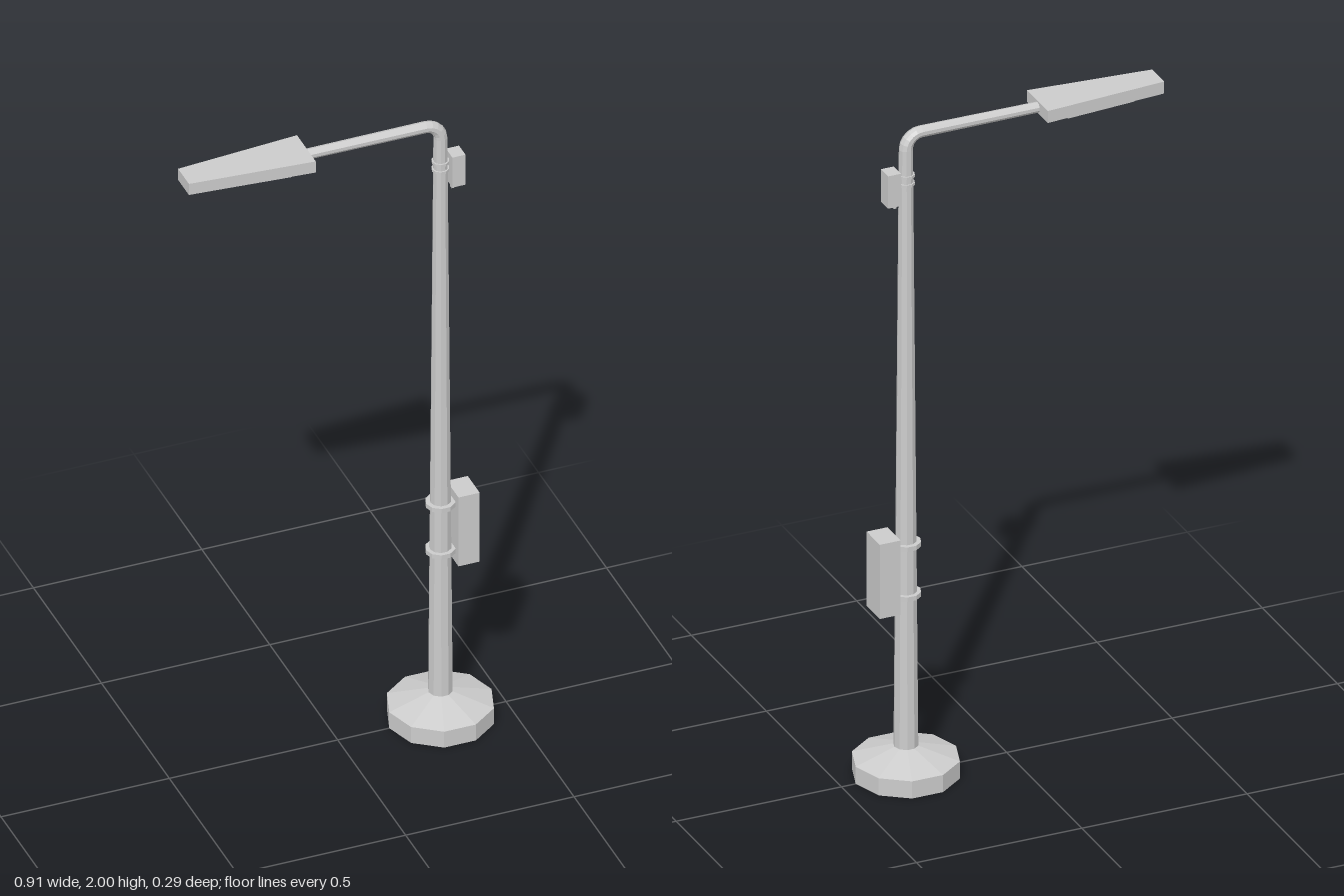
import * as THREE from 'three';

const SIDES = 10;
const POLE_X = 0.305;

export function createModel() {
  const root = new THREE.Group();
  const mat = new THREE.MeshStandardMaterial({ color: 0xcccccc, flatShading: true });

  const add = (name, geo, x = 0, y = 0, z = 0) => {
    const mesh = new THREE.Mesh(geo, mat);
    mesh.name = name;
    mesh.position.set(x, y, z);
    root.add(mesh);
    return mesh;
  };
  const box = (name, x0, x1, y0, y1, halfZ) =>
    add(name, new THREE.BoxGeometry(x1 - x0, y1 - y0, 2 * halfZ), (x0 + x1) / 2, (y0 + y1) / 2);
  // Polygonal drum with a corner pointing along x
  const drum = (name, rTop, rBottom, y0, y1) =>
    add(name, new THREE.CylinderGeometry(rTop, rBottom, y1 - y0, SIDES).rotateY(Math.PI / 2), POLE_X, (y0 + y1) / 2);
  // Trapezoid plate lying flat, wider towards the pole
  const plate = (name, x0, half0, x1, half1, y0, y1) => {
    const shape = new THREE.Shape([
      new THREE.Vector2(x0, -half0), new THREE.Vector2(x1, -half1),
      new THREE.Vector2(x1, half1), new THREE.Vector2(x0, half0),
    ]);
    const geo = new THREE.ExtrudeGeometry(shape, { depth: y1 - y0, bevelEnabled: false });
    return add(name, geo.rotateX(-Math.PI / 2), 0, y0);
  };

  // Concrete foot: one closed profile turned in ten sides
  const foot = [[0, 0], [0.152, 0], [0.152, 0.053], [0.035, 0.09], [0, 0.09]];
  add('base', new THREE.LatheGeometry(foot.map(p => new THREE.Vector2(...p)), SIDES).rotateY(Math.PI / 2), POLE_X);

  // Tapered pole, bend and arm as one loft of rings
  add('poleAndArm', poleGeometry());

  // Lamp head and the lens under it
  plate('lampHead', -0.458, 0.04, -0.093, 0.069, 1.963, 2.0);
  plate('lampLens', -0.37, 0.036, -0.16, 0.054, 1.955, 1.964);

  // Control cabinet with its straps
  box('cabinet', 0.341, 0.404, 0.52, 0.75, 0.044);
  for (const y of [0.56, 0.715]) {
    drum('cabinetStrap', 0.043, 0.043, y - 0.007, y + 0.007);
    box('cabinetBracket', 0.325, 0.345, y - 0.007, y + 0.007, 0.015);
  }

  // Small sensor box near the top with its straps and cable gland
  box('sensorBox', 0.331, 0.37, 1.775, 1.875, 0.024);
  for (const y of [1.83, 1.855]) drum('sensorStrap', 0.025, 0.025, y - 0.004, y + 0.004);
  box('sensorGland', 0.336, 0.344, 1.76, 1.776, 0.006);

  return root;
}

function poleGeometry() {
  const bend = 0.045, armY = 1.98;
  // Rings: centre x, centre y, turn from upright, radius
  const rings = [[POLE_X, 0.085, 0, 0.035]];
  const steps = 5;
  for (let i = 0; i <= steps; i++) {
    const a = (i / steps) * Math.PI / 2;
    rings.push([
      POLE_X - bend + bend * Math.cos(a), armY - bend + bend * Math.sin(a),
      a, 0.02 - 0.003 * i / steps,
    ]);
  }
  rings.push([-0.11, armY, Math.PI / 2, 0.0155]);

  const pos = [], index = [];
  for (const [cx, cy, a, r] of rings) {
    for (let j = 0; j < SIDES; j++) {
      const t = (j / SIDES) * Math.PI * 2;
      const out = r * Math.cos(t);
      pos.push(cx + out * Math.cos(a), cy + out * Math.sin(a), r * Math.sin(t));
    }
  }
  for (let i = 0; i < rings.length - 1; i++) {
    for (let j = 0; j < SIDES; j++) {
      const a = i * SIDES + j, b = i * SIDES + (j + 1) % SIDES;
      index.push(a, a + SIDES, b, b, a + SIDES, b + SIDES);
    }
  }
  const geo = new THREE.BufferGeometry();
  geo.setAttribute('position', new THREE.Float32BufferAttribute(pos, 3));
  geo.setIndex(index);
  geo.computeVertexNormals();
  return geo;
}
